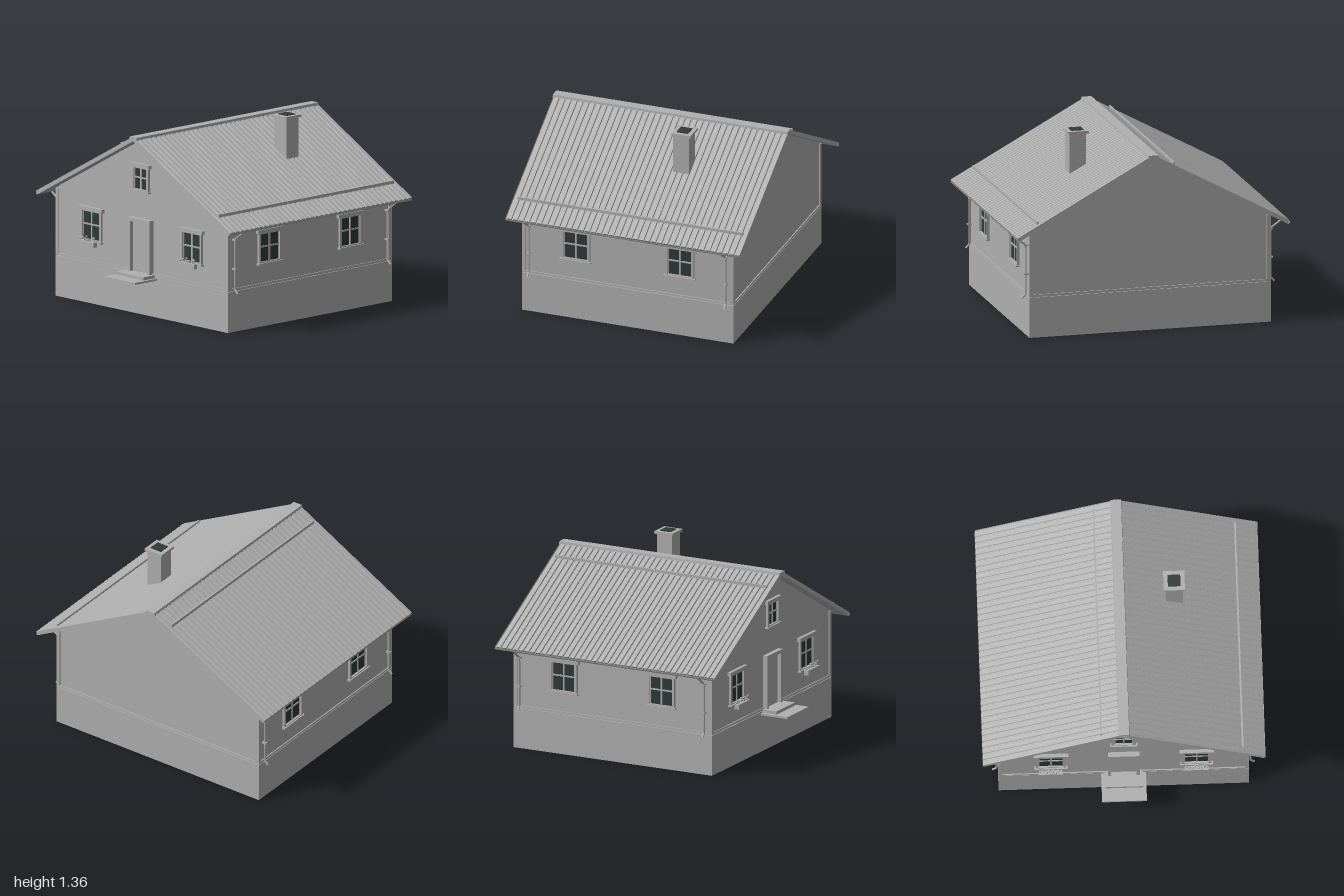
import * as THREE from 'three';

const grey = new THREE.MeshStandardMaterial({ color: 0xb0b0b0 });
grey.name = 'pale grey';
const greySheet = grey.clone();
greySheet.name = 'pale grey sheet';
greySheet.side = THREE.DoubleSide;
const dark = new THREE.MeshStandardMaterial({ color: 0x2e3a37 });
dark.name = 'dark glass';

const FRONT = 0.737, BACK = -0.86, HALF = 0.885;   // outer wall planes
const MID = (FRONT + BACK) / 2, DEPTH = FRONT - BACK;
const ROOF_FRONT = 0.82, ROOF_BACK = -0.948;
const SLOPE = 0.543, APEX = 1.262;                 // underside of the roof
const ANGLE = Math.atan(SLOPE);

function add(parent, name, geometry, material = grey) {
  const mesh = new THREE.Mesh(geometry, material);
  mesh.name = name;
  parent.add(mesh);
  return mesh;
}

// Box given by its limits on each axis
function box(parent, name, [x0, x1], [y0, y1], [z0, z1], material = grey) {
  const mesh = add(parent, name, new THREE.BoxGeometry(x1 - x0, y1 - y0, z1 - z0), material);
  mesh.position.set((x0 + x1) / 2, (y0 + y1) / 2, (z0 + z1) / 2);
  return mesh;
}

// Polygon in the xy plane extruded from z0 to z1
function prism(parent, name, points, z0, z1) {
  const shape = new THREE.Shape(points.map(([x, y]) => new THREE.Vector2(x, y)));
  const mesh = add(parent, name, new THREE.ExtrudeGeometry(shape, { depth: z1 - z0, bevelEnabled: false }));
  mesh.position.z = z0;
  return mesh;
}

// Framed four-pane window facing +z, with its centre at the origin
function makeWindow(w, h, head, border) {
  const g = new THREE.Group();
  g.name = 'window';
  const x = w / 2, y = h / 2, o = x + border;
  box(g, 'glass', [-x, x], [-y, y], [-0.004, 0.003], dark);
  for (const s of [-1, 1]) box(g, 'sideCasing', [s * (x + border / 2) - border / 2, s * (x + border / 2) + border / 2], [-y, y], [-0.01, 0.018]);
  box(g, 'headCasing', [-o, o], [y, y + 0.012], [-0.01, 0.018]);
  box(g, 'headBoard', [-head / 2, head / 2], [y + 0.007, y + 0.034], [-0.01, 0.026]);
  box(g, 'bottomCasing', [-o, o], [-y - 0.014, -y], [-0.01, 0.018]);
  box(g, 'sill', [-o - 0.01, o + 0.01], [-y - 0.02, -y - 0.008], [-0.01, 0.028]);
  box(g, 'mullion', [-0.006, 0.006], [-y, y], [0, 0.009]);
  box(g, 'crossbar', [-x, x], [0.002, 0.013], [0, 0.009]);
  for (const s of [-1, 1]) box(g, 'sashStile', [s * (x - 0.003) - 0.003, s * (x - 0.003) + 0.003], [-y, y], [0, 0.008]);
  return g;
}

function makeFlowerBox() {
  const g = new THREE.Group();
  g.name = 'flowerBox';
  box(g, 'planter', [-0.085, 0.085], [-0.035, 0], [0, 0.033]);
  for (let i = 0; i < 8; i++) {
    const x = -0.075 + i * 0.0215;
    const tall = 0.012 + ((i * 5) % 4) * 0.006;
    box(g, 'stem', [x - 0.002, x + 0.002], [-0.005, tall], [0.014, 0.018]);
    const bloom = add(g, 'bloom', new THREE.IcosahedronGeometry(0.0095, 0));
    bloom.position.set(x, tall, 0.012 + (i % 3) * 0.008);
  }
  return g;
}

// Ribbed roof slab: the cross-section runs along z and is extruded down the slope
function makeRoofSlope() {
  const ribs = 39, width = ROOF_FRONT - ROOF_BACK, step = width / ribs;
  const shape = new THREE.Shape();
  shape.moveTo(0, 0);
  shape.lineTo(width, 0);
  for (let i = ribs; i > 0; i--) {
    const a = i * step;
    shape.lineTo(a, 0.029);
    shape.lineTo(a - step * 0.68, 0.029);
    shape.lineTo(a - step * 0.76, 0.021);
    shape.lineTo(a - step * 0.92, 0.021);
  }
  shape.lineTo(0, 0.029);
  const length = 0.985 / Math.cos(ANGLE);
  const geometry = new THREE.ExtrudeGeometry(shape, { depth: length, bevelEnabled: false });
  // Shape x becomes -z, shape y the roof normal, depth runs down the slope
  const along = new THREE.Vector3(0, 0, -1);
  const normal = new THREE.Vector3(Math.sin(ANGLE), Math.cos(ANGLE), 0);
  const down = new THREE.Vector3(Math.cos(ANGLE), -Math.sin(ANGLE), 0);
  geometry.applyMatrix4(new THREE.Matrix4().makeBasis(along, normal, down));
  geometry.translate(0, APEX, ROOF_FRONT);
  return geometry;
}

function makeDownpipe() {
  const g = new THREE.Group();
  g.name = 'downpipe';
  const p = [[0.983, 0.73], [0.96, 0.712], [0.903, 0.672], [0.898, 0.64], [0.898, 0.31], [0.925, 0.282]];
  const path = new THREE.CurvePath();
  for (let i = 1; i < p.length; i++) {
    path.add(new THREE.LineCurve3(new THREE.Vector3(...p[i - 1], 0), new THREE.Vector3(...p[i], 0)));
  }
  add(g, 'pipe', new THREE.TubeGeometry(path, 60, 0.0075, 8), greySheet);
  for (const y of [0.45, 0.66]) box(g, 'pipeClamp', [0.88, 0.914], [y, y + 0.012], [-0.011, 0.011]);
  return g;
}

export function createModel() {
  const house = new THREE.Group();
  house.name = 'house';

  // Foundation and walls
  box(house, 'foundation', [-HALF, HALF], [0, 0.292], [BACK, FRONT]);
  const inner = HALF - 0.008, eave = APEX - SLOPE * inner;
  prism(house, 'walls', [[-inner, 0.29], [inner, 0.29], [inner, eave], [0, APEX], [-inner, eave]], BACK + 0.008, FRONT - 0.008);

  // Gable cladding, base boards
  const gx = (APEX - 0.8) / SLOPE;
  for (const [z0, z1] of [[FRONT - 0.01, FRONT], [BACK, BACK + 0.01]]) {
    prism(house, 'gableCladding', [[-gx, 0.8], [gx, 0.8], [0, APEX]], z0, z1);
    box(house, 'baseBoard', [-HALF, HALF], [0.296, 0.312], [z0, z1]);
  }

  // Corner boards, side base boards, roof and gutters, mirrored on both sides
  const roofRight = makeRoofSlope();
  for (const s of [1, -1]) {
    const side = new THREE.Group();
    side.name = s > 0 ? 'leftSide' : 'rightSide';
    side.rotation.y = s > 0 ? 0 : Math.PI;
    const z = (a) => s * a;                        // keeps z unchanged after the turn
    const span = (a, b) => (s > 0 ? [a, b] : [-b, -a]);
    house.add(side);
    box(side, 'sideBaseBoard', [HALF - 0.01, HALF], [0.296, 0.312], span(BACK, FRONT));
    for (const [a, b] of [[FRONT - 0.029, FRONT], [BACK, BACK + 0.029]]) {
      box(side, 'cornerBoard', [HALF - 0.029, HALF], [0.296, 0.782], span(a, b));
    }

    const slope = roofRight.clone();
    if (s < 0) slope.translate(0, 0, -ROOF_FRONT - ROOF_BACK);
    add(side, 'roofSlope', slope);

    const gutter = add(side, 'gutter', new THREE.CylinderGeometry(0.016, 0.016, ROOF_FRONT - ROOF_BACK, 12, 1, true, 0, Math.PI), greySheet);
    gutter.geometry.rotateZ(-Math.PI / 2);
    gutter.geometry.rotateY(Math.PI / 2);
    gutter.position.set(0.984, 0.744, z((ROOF_FRONT + ROOF_BACK) / 2));

    for (const pz of [0.68, -0.805]) {
      const pipe = makeDownpipe();
      pipe.position.z = z(pz);
      side.add(pipe);
    }
    for (const wz of [0.33, -0.455]) {
      const win = makeWindow(0.182, 0.2, 0.25, 0.018);
      win.rotation.y = Math.PI / 2;
      win.position.set(inner, 0.567, z(wz));
      side.add(win);
    }

    // Snow guard: near the eave on one slope, near the ridge on the other
    const gxp = s > 0 ? 0.84 : 0.16;
    const guardY = APEX + 0.033 - SLOPE * gxp;
    box(side, 'snowGuard', [gxp - 0.006, gxp + 0.006], [guardY - 0.008, guardY + 0.017], span(-0.915, 0.785));
  }

  // Ridge cap
  prism(house, 'ridgeCap', [[-0.04, 1.265], [0.04, 1.265], [0.036, 1.291], [-0.036, 1.291]], ROOF_BACK - 0.002, ROOF_FRONT + 0.002);

  // Front windows with flower boxes, and the gable window
  for (const x of [-0.515, 0.515]) {
    const win = makeWindow(0.175, 0.2, 0.245, 0.018);
    win.position.set(x, 0.562, FRONT - 0.008);
    const flowers = makeFlowerBox();
    flowers.position.set(x, 0.457, FRONT + 0.028);
    house.add(win, flowers);
  }
  const gableWindow = makeWindow(0.13, 0.15, 0.2, 0.021);
  gableWindow.name = 'gableWindow';
  gableWindow.position.set(0, 0.98, FRONT);
  house.add(gableWindow);

  // Door, frame and steps
  box(house, 'door', [-0.09, 0.09], [0.3, 0.665], [FRONT - 0.02, FRONT]);
  for (const s of [-1, 1]) box(house, 'doorPost', [s * 0.101 - 0.011, s * 0.101 + 0.011], [0.3, 0.69], [FRONT - 0.02, FRONT + 0.028]);
  box(house, 'doorLintel', [-0.112, 0.112], [0.665, 0.692], [FRONT - 0.02, FRONT + 0.028]);
  box(house, 'lowerStep', [-0.16, 0.157], [0.267, 0.281], [FRONT - 0.01, 0.95]);
  box(house, 'upperStep', [-0.137, 0.137], [0.281, 0.304], [FRONT - 0.01, 0.85]);

  // Chimney with cap and dark flue opening
  box(house, 'chimneyShaft', [0.332, 0.452], [1.0, 1.336], [-0.363, -0.243]);
  box(house, 'chimneyCap', [0.315, 0.465], [1.336, 1.354], [-0.378, -0.232]);
  box(house, 'flueOpening', [0.345, 0.435], [1.353, 1.359], [-0.348, -0.262], dark);

  return house;
}
